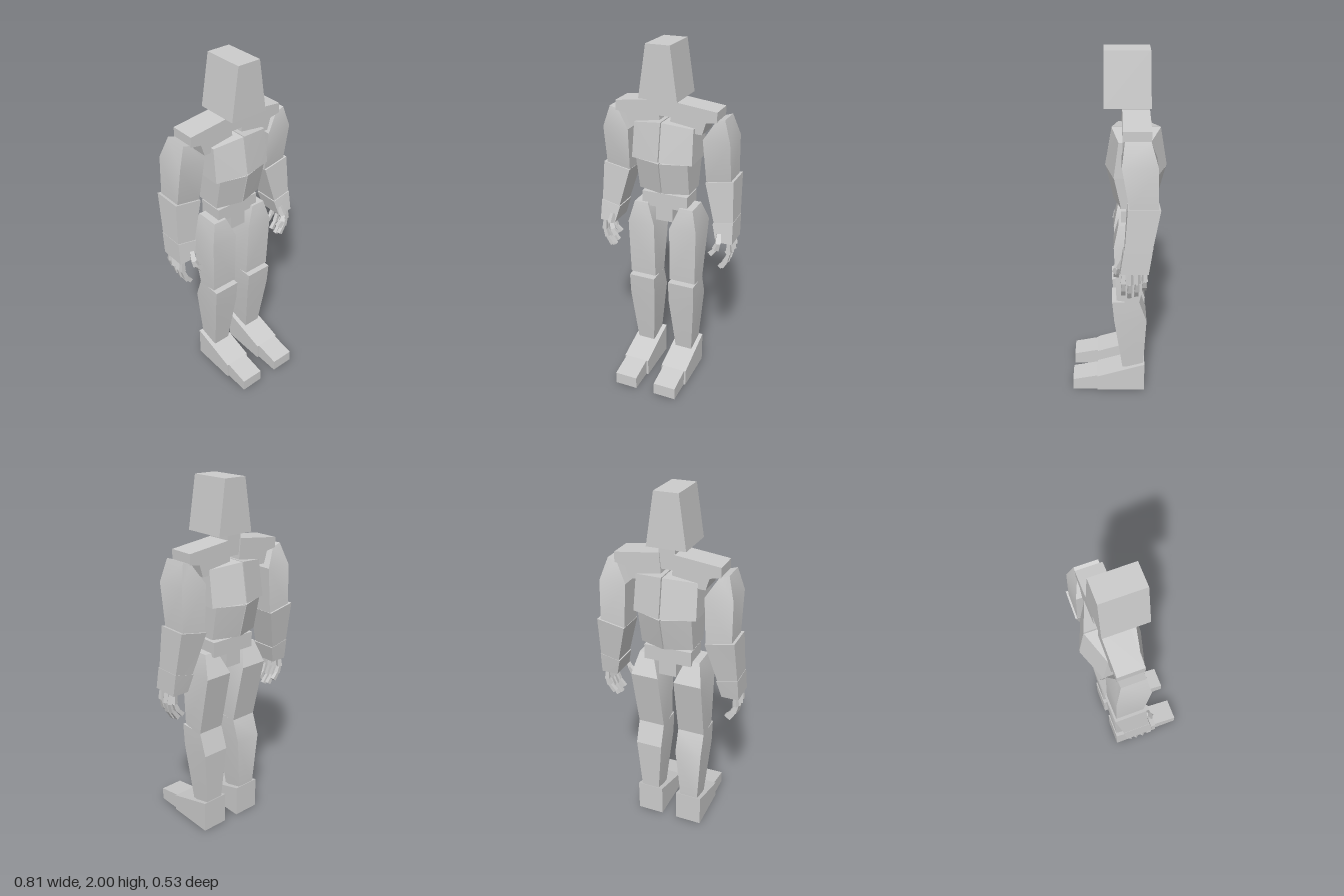
import * as THREE from 'three';
import { toCreasedNormals } from 'three/addons/utils/BufferGeometryUtils.js';

const grey = new THREE.MeshStandardMaterial({ color: 0xcccccc });

// Rectangular ring: inner x, outer x, front z, back z; tx raises the outer edge, tz the front edge
const ring = (y, x0, x1, zf, zb, tx = 0, tz = 0) => [
  [x0, y - tx + tz, zf], [x1, y + tx + tz, zf], [x1, y + tx - tz, zb], [x0, y - tx - tz, zb]];

// Half-torso ring: deeper on the centre line, shallower at the flank
const torsoRing = (yc, yo, x, cf, of, ob, cb) => [[0.003, yc, cf], [x, yo, of], [x, yo, ob], [0.003, yc, cb]];

// Closed solid through four-cornered rings, listed from bottom to top
function loft(rings, crease = 0.6) {
  const index = [];
  for (let i = 0; i < rings.length - 1; i++) {
    for (let j = 0; j < 4; j++) {
      const a = i * 4 + j, b = i * 4 + (j + 1) % 4;
      index.push(a, b, b + 4, a, b + 4, a + 4);
    }
  }
  const t = (rings.length - 1) * 4;
  index.push(0, 2, 1, 0, 3, 2, t, t + 1, t + 2, t, t + 2, t + 3);
  const g = new THREE.BufferGeometry();
  g.setAttribute('position', new THREE.Float32BufferAttribute(rings.flat(2), 3));
  g.setIndex(index);
  return toCreasedNormals(g, crease);
}

// Outline extruded along z
function slab(points, z0, z1) {
  const shape = new THREE.Shape(points.map(p => new THREE.Vector2(...p)));
  return new THREE.ExtrudeGeometry(shape, { depth: z1 - z0, bevelEnabled: false }).translate(0, 0, z0);
}

// Copy reflected in x, with the winding turned back outwards
function mirrored(geometry) {
  const g = geometry.index ? geometry.toNonIndexed() : geometry.clone();
  g.scale(-1, 1, 1);
  const p = g.attributes.position;
  for (let i = 0; i < p.count; i += 3) {
    const b = new THREE.Vector3().fromBufferAttribute(p, i + 1);
    const c = new THREE.Vector3().fromBufferAttribute(p, i + 2);
    p.setXYZ(i + 1, c.x, c.y, c.z);
    p.setXYZ(i + 2, b.x, b.y, b.z);
  }
  return toCreasedNormals(g, 0.6);
}

// Four-sided finger joint between two points, flaring towards its far end
function joint(from, to, r0, r1) {
  const a = new THREE.Vector3(...from), b = new THREE.Vector3(...to);
  const dir = b.clone().sub(a);
  const g = new THREE.CylinderGeometry(r1, r0, dir.length(), 4).toNonIndexed();
  g.rotateY(Math.PI / 4);
  g.computeVertexNormals();
  g.applyQuaternion(new THREE.Quaternion().setFromUnitVectors(new THREE.Vector3(0, 1, 0), dir.normalize()));
  const m = a.add(b).multiplyScalar(0.5);
  return g.translate(m.x, m.y, m.z);
}

export function createModel() {
  const model = new THREE.Group();
  model.name = 'figure';
  const add = (name, geometry) => {
    const mesh = new THREE.Mesh(geometry, grey);
    mesh.name = name;
    model.add(mesh);
  };
  const pair = (name, geometry) => {
    add('left' + name, geometry);
    add('right' + name, mirrored(geometry));
  };

  // Centre parts
  add('head', loft([ring(1.72, -0.108, 0.108, 0.07, -0.172), ring(2, -0.066, 0.066, 0.068, -0.165)]));
  add('neck', slab([[-0.045, 1.61], [0.045, 1.61], [0.045, 1.73], [-0.045, 1.73]], -0.16, -0.025));
  add('pelvis', slab([[-0.135, 1.08], [-0.05, 1.08], [-0.05, 1], [0.05, 1], [0.05, 1.08],
    [0.135, 1.08], [0.135, 1.165], [-0.135, 1.165]], -0.165, -0.02));

  // Torso halves
  pair('Collar', slab([[0.03, 1.58], [0.18, 1.535], [0.21, 1.535], [0.23, 1.6], [0.29, 1.61],
    [0.29, 1.665], [0.04, 1.695]], -0.167, -0.025));
  pair('Chest', loft([
    torsoRing(1.38, 1.372, 0.175, 0.065, 0.02, -0.2, -0.265),
    torsoRing(1.59, 1.565, 0.17, 0.03, -0.005, -0.168, -0.228)], 0.2));
  pair('Abdomen', loft([
    torsoRing(1.185, 1.185, 0.147, 0.02, -0.02, -0.165, -0.215),
    torsoRing(1.37, 1.37, 0.15, 0.06, 0.02, -0.2, -0.26)], 0.2));

  // Legs
  pair('Thigh', loft([
    ring(0.63, 0.045, 0.2, 0.005, -0.12, 0, 0.012),
    ring(0.98, 0.047, 0.205, 0.02, -0.195),
    ring(1.1, 0.095, 0.175, -0.005, -0.14)]));
  pair('Shin', loft([
    ring(0.155, 0.073, 0.175, -0.03, -0.152),
    ring(0.5, 0.045, 0.2, 0.018, -0.166),
    ring(0.63, 0.045, 0.2, 0.03, -0.122)], 0.3));
  const foot = (x0, x1, zb, zf, yb, yf) => loft([
    ring(0, x0, x1, zf, zb), ring((yb + yf) / 2, x0, x1, zf, zb, 0, (yf - yb) / 2)], 0.1);
  pair('Foot', foot(0.045, 0.2, -0.16, 0.12, 0.187, 0.1));
  pair('Toe', foot(0.057, 0.19, 0.12, 0.265, 0.1, 0.072));

  // Arms
  pair('UpperArm', loft([
    ring(1.27, 0.23, 0.37, -0.06, -0.205, 0.01),
    ring(1.51, 0.217, 0.367, -0.02, -0.198),
    ring(1.62, 0.28, 0.33, -0.035, -0.162, 0.008)]));
  pair('Forearm', loft([
    ring(1.045, 0.29, 0.398, -0.035, -0.175, 0.013),
    ring(1.275, 0.228, 0.386, -0.05, -0.215, 0.015)]));
  pair('Hand', loft([
    ring(0.935, 0.31, 0.405, -0.013, -0.16),
    ring(1.045, 0.284, 0.4, -0.03, -0.177, 0.013)]));

  // Curled fingers: root z, tip z, length factor
  const curl = [[0.382, 0], [0.386, 0.07], [0.37, 0.125], [0.337, 0.175]];
  const fingers = [['Index', -0.03, -0.03, 0.9], ['Middle', -0.067, -0.063, 1],
    ['Ring', -0.104, -0.1, 0.94], ['Little', -0.14, -0.142, 0.72]];
  for (const [name, z0, z1, k] of fingers) {
    const pts = curl.map(([x, d], i) => [x, 0.935 - d * k, z0 + (z1 - z0) * i / 3]);
    for (let i = 0; i < 3; i++) {
      pair(name + 'Finger' + (i + 1), joint(pts[i], pts[i + 1], 0.013, 0.019 - 0.001 * i));
    }
  }

  // Thumb
  const thumb = [[0.325, 0.985, -0.02], [0.33, 0.935, 0.003], [0.318, 0.9, 0.008], [0.292, 0.868, 0.005]];
  for (let i = 0; i < 3; i++) pair('Thumb' + (i + 1), joint(thumb[i], thumb[i + 1], 0.015, 0.021));

  return model;
}
